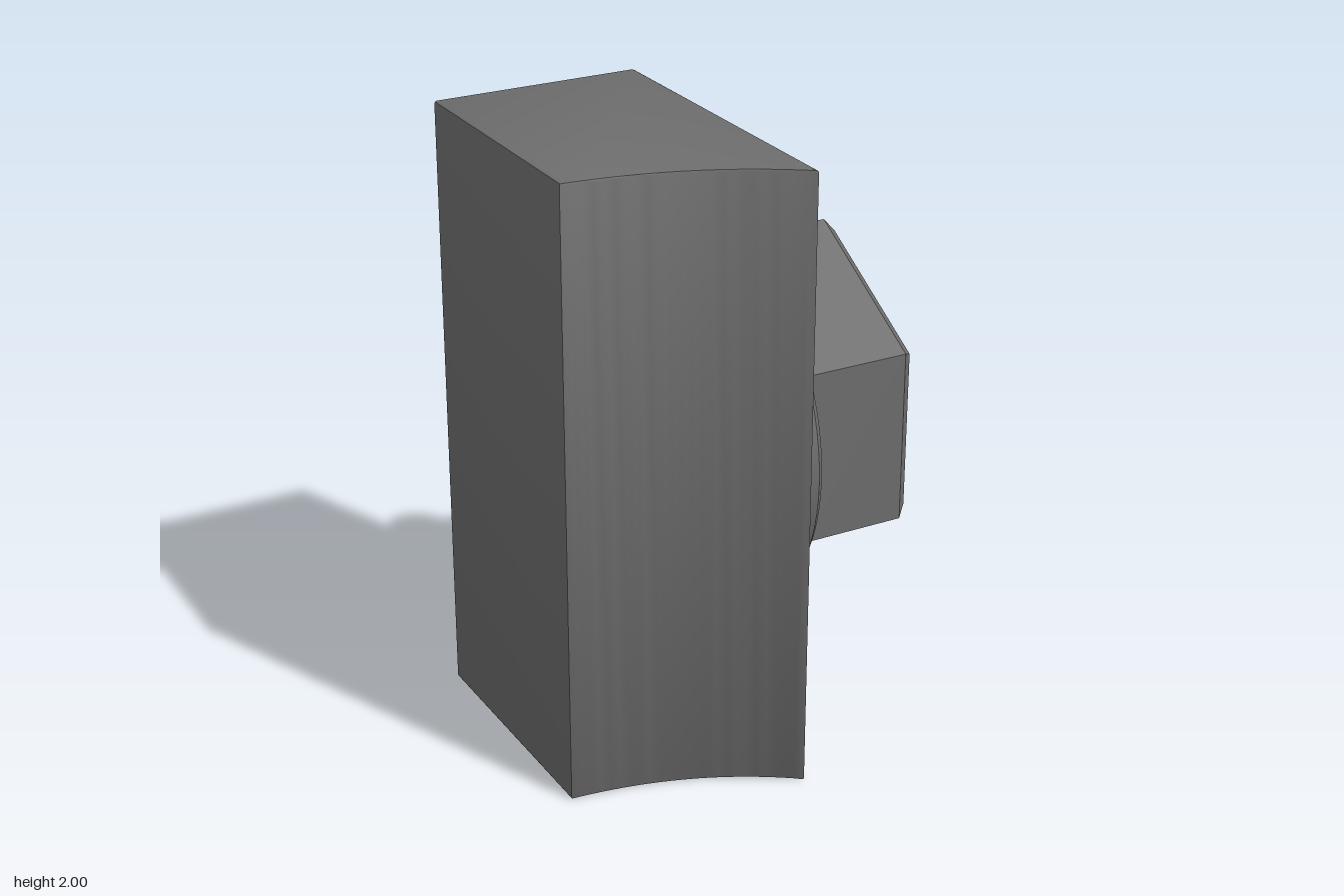
import * as THREE from 'three';
import { toCreasedNormals } from 'three/addons/utils/BufferGeometryUtils.js';

// Turned solid along +x from [radius, x] points; six segments give a hexagon
function turned(points, segments, name, material) {
  const profile = points.map(([r, x]) => new THREE.Vector2(r, x));
  const geo = new THREE.LatheGeometry(profile, segments, Math.PI / 2);
  geo.rotateZ(-Math.PI / 2);
  const mesh = new THREE.Mesh(toCreasedNormals(geo, 0.4), material);
  mesh.name = name;
  mesh.position.set(0, 0.98, -0.04);
  return mesh;
}

export function createModel() {
  const group = new THREE.Group();
  group.name = 'boltedBlock';
  const steel = new THREE.MeshStandardMaterial({ color: 0x6c6c6c });
  steel.name = 'dark grey steel';

  // Block: plan outline with a concave front, extruded upwards (shape y = -z)
  const e = 0.008;
  const plan = new THREE.Shape();
  plan.moveTo(-0.597, -0.42);
  plan.quadraticCurveTo(-0.2, -0.45, 0.085, -0.67);
  plan.lineTo(0.085, 0.432 - e);
  plan.lineTo(0.085 - e, 0.432);
  plan.lineTo(-0.597 + e, 0.432);
  plan.lineTo(-0.597, 0.432 - e);
  plan.closePath();
  const blockGeo = new THREE.ExtrudeGeometry(plan, {
    depth: 2 - 2 * e, curveSegments: 24,
    bevelThickness: e, bevelSize: e, bevelOffset: -e, bevelSegments: 2,
  });
  blockGeo.rotateX(-Math.PI / 2);
  blockGeo.translate(0, e, 0);
  const block = new THREE.Mesh(toCreasedNormals(blockGeo, 0.4), steel);
  block.name = 'block';
  group.add(block);

  // Chamfered round washer
  group.add(turned([
    [0, 0.085], [0.61, 0.085], [0.633, 0.108], [0.633, 0.162], [0.61, 0.185], [0, 0.185],
  ], 72, 'washer', steel));

  // Hexagonal bolt head, points up and down
  group.add(turned([
    [0, 0.18], [0.545, 0.183], [0.562, 0.21], [0.562, 0.555], [0.515, 0.597], [0, 0.597],
  ], 6, 'hexHead', steel));

  return group;
}
